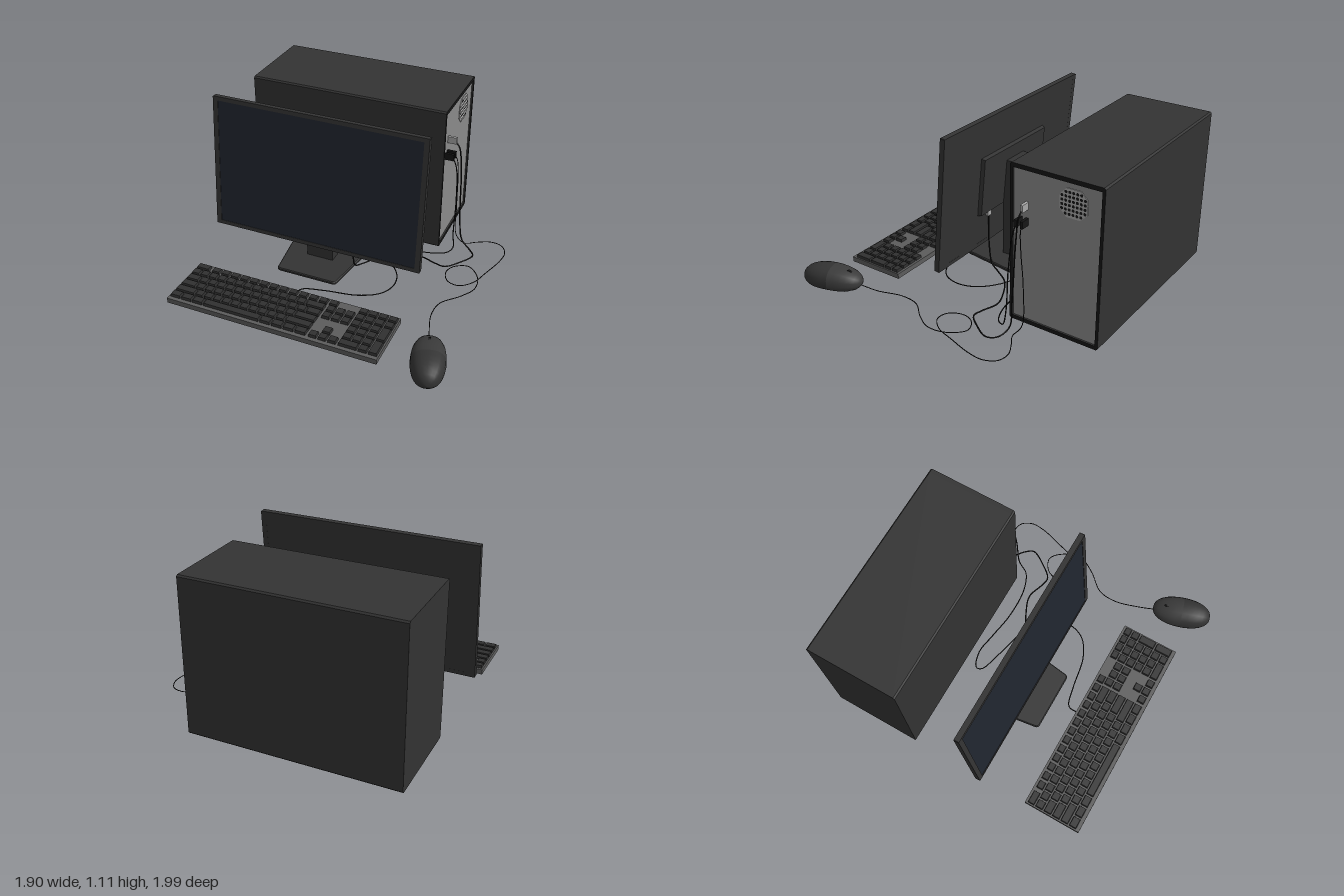
import * as THREE from 'three';
import { mergeGeometries } from 'three/addons/utils/BufferGeometryUtils.js';

const mat = color => new THREE.MeshStandardMaterial({ color });
const dark = mat(0x333333), black = mat(0x161616), plate = mat(0x5c5c5c), keyDark = mat(0x303030);
const panelGrey = mat(0x8a8a8a), lightGrey = mat(0xa8a8a8), screenBlue = mat(0x20252f), buttonGrey = mat(0x3a3a3a);

function add(parent, name, geometry, material, x = 0, y = 0, z = 0) {
  const m = new THREE.Mesh(geometry, material);
  m.name = name;
  m.position.set(x, y, z);
  parent.add(m);
}
// Box given by its minimum and maximum corners
function span(parent, name, material, a, b) {
  const s = b.map((v, i) => v - a[i]);
  add(parent, name, new THREE.BoxGeometry(...s), material, ...a.map((v, i) => v + s[i] / 2));
}
function group(parent, name) {
  const g = new THREE.Group();
  g.name = name;
  parent.add(g);
  return g;
}
// Rectangle with chamfered corners
function chamfered(w, h, c, Type = THREE.Shape) {
  const x = w / 2, y = h / 2;
  return new Type([[-x + c, -y], [x - c, -y], [x, -y + c], [x, y - c], [x - c, y], [-x + c, y], [-x, y - c], [-x, -y + c]]
    .map(p => new THREE.Vector2(...p)));
}

function addComputerCase(root) {
  const g = group(root, 'computerCase');
  const cy = 0.535, cz = -0.69, w = 0.62, h = 1.05;
  const extrude = (shape, depth) => new THREE.ExtrudeGeometry(shape, { depth, bevelEnabled: false }).rotateY(Math.PI / 2);
  add(g, 'caseBody', extrude(chamfered(w, h, 0.01), 1.37), dark, -0.92, cy, cz);
  // Raised rim around the connector panel
  const rim = chamfered(w, h, 0.01);
  rim.holes.push(chamfered(w - 0.04, h - 0.055, 0.001, THREE.Path));
  add(g, 'caseRim', extrude(rim, 0.03), [black, dark], 0.45, cy, cz);
  span(g, 'connectorPanel', panelGrey, [0.44, 0.035, -0.98], [0.468, 1.035, -0.4]);
  // Octagonal fan vent with rows of round holes
  add(g, 'fanVent', extrude(chamfered(0.18, 0.18, 0.045), 0.006), lightGrey, 0.467, 0.905, -0.8);
  const holes = [];
  for (let r = 0; r < 6; r++) for (let c = 0; c < 7; c++) {
    if ((r === 0 || r === 5) && (c === 0 || c === 6)) continue;
    holes.push(new THREE.CircleGeometry(0.01, 8).rotateY(Math.PI / 2).translate(0, (r - 2.5) * 0.027, (c - 3) * 0.025));
  }
  add(g, 'ventHoles', mergeGeometries(holes), black, 0.4745, 0.905, -0.8);
}

function addMonitor(root) {
  const g = group(root, 'monitor');
  // Display leaning back
  const d = group(g, 'display');
  d.position.set(-0.2175, 0.64, 0.111);
  d.rotation.x = -0.09;
  const frame = chamfered(1.495, 0.94, 0.003);
  frame.holes.push(chamfered(1.425, 0.885, 0.001, THREE.Path));
  add(d, 'bezel', new THREE.ExtrudeGeometry(frame, { depth: 0.036, bevelEnabled: false }), dark, 0, 0, -0.018);
  add(d, 'backPanel', new THREE.BoxGeometry(1.48, 0.925, 0.02), dark, 0, 0, -0.0075);
  add(d, 'screen', new THREE.BoxGeometry(1.425, 0.885, 0.012), screenBlue, 0, 0, 0.009);
  const bulge = new THREE.BoxGeometry(0.71, 0.42, 0.026), p = bulge.attributes.position;
  for (let i = 0; i < p.count; i++) if (p.getZ(i) < 0) p.setXY(i, p.getX(i) * 0.98, p.getY(i) * 0.97);
  bulge.computeVertexNormals();
  add(d, 'rearHousing', bulge, dark, 0, -0.01, -0.03);
  // Stand column and tapering foot
  span(g, 'standColumn', dark, [-0.31, 0.03, 0.005], [-0.12, 0.74, 0.09]);
  const foot = new THREE.Shape();
  foot.moveTo(-0.255, 0.125);
  foot.lineTo(0.255, 0.125);
  foot.quadraticCurveTo(0.27, 0.125, 0.267, 0.11);
  foot.lineTo(0.212, -0.285);
  foot.quadraticCurveTo(0.21, -0.305, 0.19, -0.305);
  foot.lineTo(-0.19, -0.305);
  foot.quadraticCurveTo(-0.21, -0.305, -0.212, -0.285);
  foot.lineTo(-0.267, 0.11);
  foot.quadraticCurveTo(-0.27, 0.125, -0.255, 0.125);
  const footGeo = new THREE.ExtrudeGeometry(foot, { depth: 0.012, bevelSize: 0.006, bevelThickness: 0.006, bevelSegments: 1, curveSegments: 4 });
  add(g, 'standFoot', footGeo.rotateX(-Math.PI / 2), dark, -0.216, 0.016, 0);
}

function addKeyboard(root) {
  const g = group(root, 'keyboard');
  span(g, 'keyboardPlate', plate, [-0.92, 0.006, 0.485], [0.53, 0.042, 0.893]);
  const keys = [], gap = 0.009;
  // Keycap narrowing to its top
  function key(x0, x1, z0, z1) {
    const w = x1 - x0 - gap, l = z1 - z0 - gap;
    const k = new THREE.BoxGeometry(w, 0.022, l), p = k.attributes.position;
    for (let i = 0; i < p.count; i++) if (p.getY(i) > 0)
      p.setXYZ(i, p.getX(i) - Math.sign(p.getX(i)) * 0.004, p.getY(i), p.getZ(i) - Math.sign(p.getZ(i)) * 0.004);
    k.computeVertexNormals();
    keys.push(k.translate((x0 + x1) / 2, 0.05, (z0 + z1) / 2));
  }
  const z = [0.497, 0.554, 0.618, 0.682, 0.746, 0.81, 0.872], ones = n => Array(n).fill(1);
  const rows = [
    [...ones(13), 2], [1.5, ...ones(12), 1.5], [1.75, ...ones(11), 2.25],
    [2.25, ...ones(10), 2.75], [1.25, 1.25, 1.25, 6.25, 1.25, 1.25, 1.25, 1.25],
  ];
  rows.forEach((widths, r) => {
    let x = -0.915;
    for (const w of widths) key(x, x += w * 0.0647, z[r + 1], z[r + 2]);
  });
  // Top row
  key(-0.915, -0.815, z[0], z[1]);
  for (let i = 0; i < 13; i++) key(-0.8 + i * 0.0715, -0.735 + i * 0.0715, z[0], z[1]);
  // Navigation cluster and arrows
  for (let c = 0; c < 3; c++) for (const r of [1, 2, 4, 5])
    if (r !== 4 || c === 1) key(0.065 + c * 0.065, 0.128 + c * 0.065, z[r], z[r + 1]);
  // Number pad with two tall keys and a wide zero
  const nx = c => 0.263 + c * 0.0655;
  for (let c = 0; c < 4; c++) for (let r = 0; r < 5; r++)
    if (r < 2 || c < 3) key(nx(c), nx(c + 1), z[r], z[r + 1]);
  key(nx(3), nx(4), z[2], z[4]);
  key(nx(3), nx(4), z[4], z[6]);
  key(nx(0), nx(2), z[5], z[6]);
  key(nx(2), nx(3), z[5], z[6]);
  add(g, 'keys', mergeGeometries(keys), keyDark);
}

function addMouse(root) {
  const g = group(root, 'mouse');
  g.position.set(0.815, 0, 0.793);
  g.rotation.y = 0.29;
  // Half of a rounded shell, front or back
  function shell(start) {
    const s = new THREE.SphereGeometry(1, 20, 8, 0, Math.PI * 2, start, Math.PI / 2).rotateX(-Math.PI / 2);
    const p = s.attributes.position, pw = (v, e) => Math.sign(v) * Math.abs(v) ** e;
    for (let i = 0; i < p.count; i++) {
      const x = p.getX(i), y = p.getY(i), zz = p.getZ(i);
      const up = pw(y, 0.85) * (1 + 0.12 * zz);
      p.setXYZ(i, pw(x, 0.85) * 0.108, y > 0 ? 0.05 + up * 0.094 : 0.05 - Math.min(0.04, Math.abs(y) * 0.08), pw(zz, 0.95) * 0.206);
    }
    s.computeVertexNormals();
    return s;
  }
  add(g, 'mouseButtons', shell(0), buttonGrey);
  add(g, 'mouseBody', shell(Math.PI / 2), dark);
  add(g, 'scrollWheel', new THREE.CylinderGeometry(0.024, 0.024, 0.014, 14).rotateZ(Math.PI / 2), black, 0, 0.106, -0.115);
}

function addCables(root) {
  const g = group(root, 'cables'), f = 0.006;
  function cable(name, radius, points) {
    const curve = new THREE.CatmullRomCurve3(points.map(p => new THREE.Vector3(...p)), false, 'centripetal');
    add(g, name, new THREE.TubeGeometry(curve, points.length * 8, radius, 6), black);
  }
  const floor = pts => pts.map(([x, z]) => [x, f, z]);
  cable('mouseCable', 0.003, [[0.755, 0.03, 0.62], ...floor([
    [0.72, 0.5], [0.675, 0.33], [0.69, 0.2], [0.79, 0.08], [0.85, -0.03], [0.83, -0.16], [0.74, -0.25], [0.65, -0.21],
    [0.62, -0.13], [0.66, -0.04], [0.74, -0.02], [0.82, -0.09], [0.87, -0.23], [0.92, -0.4], [0.925, -0.5], [0.88, -0.575],
    [0.8, -0.59], [0.71, -0.55], [0.63, -0.505]]),
  [0.565, 0.04, -0.525], [0.55, 0.3, -0.525], [0.55, 0.55, -0.505], [0.54, 0.67, -0.495], [0.52, 0.705, -0.493]]);
  cable('keyboardCable', 0.004, [[-0.2, 0.02, 0.49], ...floor([
    [-0.185, 0.42], [-0.05, 0.38], [0.18, 0.335], [0.31, 0.25], [0.35, 0.13], [0.31, 0], [0.17, -0.12], [-0.1, -0.2],
    [-0.25, -0.25], [-0.26, -0.29], [-0.15, -0.33], [0, -0.31], [0.2, -0.28], [0.42, -0.29], [0.55, -0.345]]),
  [0.58, 0.02, -0.4], [0.57, 0.12, -0.415], [0.57, 0.4, -0.43], [0.55, 0.64, -0.447], [0.52, 0.705, -0.45]]);
  cable('monitorCable', 0.005, [[0.52, 0.8, -0.493], [0.55, 0.77, -0.49], [0.575, 0.6, -0.485], [0.595, 0.2, -0.475],
    [0.62, 0.05, -0.475], ...floor([[0.69, -0.44], [0.73, -0.38], [0.67, -0.27], [0.59, -0.185], [0.52, -0.195],
      [0.4, -0.23], [0.28, -0.19], [0.15, -0.11], [0.07, 0]]),
    [0.04, 0.03, 0.07], [0.035, 0.15, 0.095], [0.035, 0.4, 0.1]]);
  // Plugs at the case and the display
  for (const [name, y, z, m] of [['keyboardPlug', 0.705, -0.45, black], ['mousePlug', 0.705, -0.493, black], ['monitorPlug', 0.81, -0.493, lightGrey]])
    span(g, name, m, [0.46, y - 0.024, z - 0.009], [0.53, y + 0.024, z + 0.009]);
  span(g, 'displayPlug', lightGrey, [0.015, 0.39, 0.09], [0.055, 0.44, 0.108]);
}

export function createModel() {
  const root = new THREE.Group();
  root.name = 'desktopComputer';
  addComputerCase(root);
  addMonitor(root);
  addKeyboard(root);
  addMouse(root);
  addCables(root);
  return root;
}
